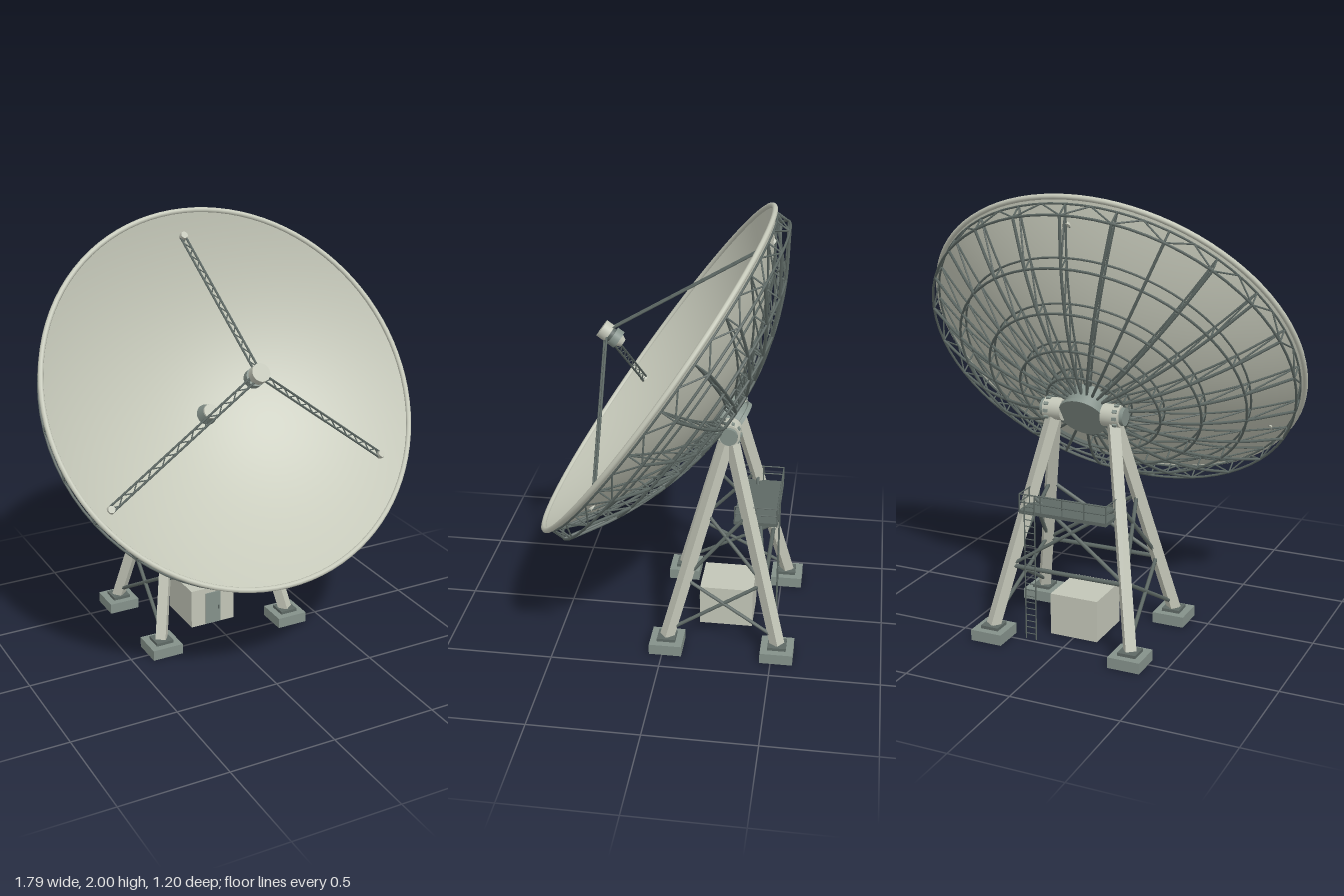
import * as THREE from 'three';
import { mergeGeometries } from 'three/addons/utils/BufferGeometryUtils.js';

const V = (x, y, z) => new THREE.Vector3(x, y, z);
const mat = (name, color, side = THREE.FrontSide) => {
  const m = new THREE.MeshStandardMaterial({ color, side });
  m.name = name;
  return m;
};

export function createModel() {
  const panel = mat('panel beige', 0xc6c9ba, THREE.DoubleSide);
  const paint = mat('tower beige', 0xc2c5b7);
  const steel = mat('dark steel', 0x5e6965);
  const grey = mat('green grey', 0x84918a);
  const model = new THREE.Group();
  model.name = 'dishAntenna';

  const add = (parent, name, geo, material, x = 0, y = 0, z = 0) => {
    const m = new THREE.Mesh(geo, material);
    m.name = name;
    m.position.set(x, y, z);
    parent.add(m);
    return m;
  };
  // Round bar between two points
  const bar = (a, b, r, sides = 6) => {
    const d = b.clone().sub(a);
    const g = new THREE.CylinderGeometry(r, r, d.length(), sides);
    g.applyQuaternion(new THREE.Quaternion().setFromUnitVectors(V(0, 1, 0), d.normalize()));
    const c = a.clone().add(b).multiplyScalar(0.5);
    return g.translate(c.x, c.y, c.z);
  };
  const box = (w, h, d) => new THREE.BoxGeometry(w, h, d);
  // Square beam between two points, one pair of faces kept level sideways
  const beam = (a, b, w) => {
    const c = a.clone().add(b).multiplyScalar(0.5);
    return box(w, w, a.distanceTo(b))
      .applyMatrix4(new THREE.Matrix4().lookAt(a, b, V(0, 1, 0)))
      .translate(c.x, c.y, c.z);
  };
  const cylZ = (r0, r1, h, n = 28) => new THREE.CylinderGeometry(r1, r0, h, n).rotateX(Math.PI / 2);

  // Dish assembly: local +z is the pointing axis, origin at the rim centre
  const dish = new THREE.Group();
  dish.name = 'dish';
  dish.position.set(0, 1.265, 0.08);
  dish.rotation.x = -THREE.MathUtils.degToRad(35);
  model.add(dish);
  const R = 0.885, DEPTH = 0.335;
  const skin = r => -DEPTH * (1 - (r / R) ** 2);
  const front = r => skin(r) - 0.012;
  const rear = r => skin(r) - 0.06 - 0.022 * r / R;
  const polar = (r, a, z) => V(r * Math.cos(a), r * Math.sin(a), z);

  const profile = [];
  for (let i = 0; i <= 24; i++) {
    const r = Math.max(0.001, R * i / 24);
    profile.push(new THREE.Vector2(r, skin(r)));
  }
  add(dish, 'reflector', new THREE.LatheGeometry(profile, 96).rotateX(Math.PI / 2), panel);
  add(dish, 'rimLip', new THREE.TorusGeometry(R - 0.002, 0.012, 8, 96), panel);

  // Curved radial rib trusses behind the reflector
  const RIBS = 24, radii = [0.09, 0.19, 0.33, 0.5, 0.68, 0.868];
  const ribs = [], hoops = [];
  const ribChord = (a, depth, r) => new THREE.TubeGeometry(
    new THREE.CatmullRomCurve3(radii.map(q => polar(q, a, depth(q)))), 15, r, 5);
  for (let k = 0; k < RIBS; k++) {
    const a = k / RIBS * Math.PI * 2, b = (k + 1) / RIBS * Math.PI * 2;
    ribs.push(ribChord(a, front, 0.005), ribChord(a, rear, 0.007));
    radii.forEach((r, i) => {
      ribs.push(bar(polar(r, a, front(r)), polar(r, a, rear(r)), 0.004, 5));
      if (i < radii.length - 1) {
        const q = radii[i + 1];
        ribs.push(bar(polar(r, a, rear(r)), polar(q, a, front(q)), 0.004, 5));
      }
    });
    // Zigzag web of the outermost hoop
    const r = radii[5], peak = polar(r, (a + b) / 2, front(r));
    hoops.push(bar(polar(r, a, rear(r)), peak, 0.004, 5), bar(peak, polar(r, b, rear(r)), 0.004, 5));
  }
  // Round hoops, one on the skin and one on the rear chords
  for (const r of radii.slice(1)) {
    hoops.push(new THREE.TorusGeometry(r, 0.005, 5, 72).translate(0, 0, front(r)));
    hoops.push(new THREE.TorusGeometry(r, 0.006, 5, 72).translate(0, 0, rear(r)));
  }
  add(dish, 'ribTrusses', mergeGeometries(ribs), steel);
  add(dish, 'hoopTrusses', mergeGeometries(hoops), steel);

  // Centre cone in the bowl and the hub drum behind it
  add(dish, 'centreCone', cylZ(0.05, 0.036, 0.05), grey, 0, 0, -0.31);
  add(dish, 'centreConeCap', cylZ(0.036, 0.034, 0.008), paint, 0, 0, -0.282);
  add(dish, 'hubDrum', cylZ(0.1, 0.1, 0.1, 32), grey, 0, 0, -0.39);
  add(dish, 'hubFlange', cylZ(0.112, 0.112, 0.018, 32), grey, 0, 0, -0.441);

  // Feed housing at the focus
  add(dish, 'feedCap', cylZ(0.042, 0.042, 0.042), paint, 0, 0, 0.28);
  add(dish, 'feedNeck', cylZ(0.032, 0.032, 0.04), steel, 0, 0, 0.25);
  add(dish, 'feedDrum', cylZ(0.043, 0.043, 0.035), grey, 0, 0, 0.225);
  add(dish, 'feedHorn', cylZ(0.018, 0.032, 0.025), paint, 0, 0, 0.197);

  // Three flat lattice legs carrying the feed
  for (const deg of [90, 210, 330]) {
    const a = THREE.MathUtils.degToRad(deg);
    const p0 = polar(0.785, a, skin(0.785)), p1 = polar(0.035, a, 0.262);
    const side = polar(1, a + Math.PI / 2, 0);
    const node = (s, t) => p0.clone().lerp(p1, t).addScaledVector(side, s * 0.013);
    const parts = [], N = 20;
    for (const s of [-1, 1]) parts.push(bar(node(s, 0), node(s, 1), 0.005));
    for (let i = 0; i < N; i++) {
      const s = i % 2 ? 1 : -1;
      parts.push(bar(node(s, i / N), node(-s, (i + 1) / N), 0.003, 4));
    }
    add(dish, 'feedLeg', mergeGeometries(parts), steel);
    add(dish, 'feedLegFoot', cylZ(0.02, 0.016, 0.025, 16), paint, p0.x, p0.y, p0.z + 0.01);
  }

  // Tower: four legs from footings to the elevation bearings
  const top = s => V(s * 0.14, 1.03, -0.27);
  const foot = (s, f) => V(s * 0.335, 0.06, f > 0 ? -0.015 : -0.525);
  const at = (s, f, y) => foot(s, f).lerp(top(s), (y - 0.06) / 0.97);
  const braces = [];
  for (const s of [-1, 1]) {
    for (const f of [-1, 1]) {
      const p = foot(s, f);
      add(model, 'footing', box(0.15, 0.05, 0.15), grey, p.x, 0.025, p.z);
      add(model, 'basePlate', box(0.085, 0.014, 0.085), steel, p.x, 0.057, p.z);
      add(model, 'towerLeg', beam(p, top(s), 0.048), paint);
      // Side cross braces
      braces.push(bar(at(s, f, 0.09), at(s, -f, 0.34), 0.009), bar(at(s, f, 0.34), at(s, -f, 0.66), 0.009));
    }
    // Elevation bearing with cap and bolt ring
    const p = top(s);
    add(model, 'bearing', new THREE.CylinderGeometry(0.05, 0.05, 0.085, 28).rotateZ(Math.PI / 2), paint, p.x, p.y, p.z);
    add(model, 'bearingCap', new THREE.CylinderGeometry(0.04, 0.04, 0.02, 24).rotateZ(Math.PI / 2), grey, s * 0.19, p.y, p.z);
    const bolts = [];
    for (let i = 0; i < 10; i++) {
      const a = i / 10 * Math.PI * 2;
      bolts.push(box(0.02, 0.014, 0.014).rotateX(-a).translate(s * 0.165, 0.05 * Math.sin(a), 0.05 * Math.cos(a)));
    }
    add(model, 'bearingBolts', mergeGeometries(bolts), grey, 0, p.y, p.z);
  }
  add(model, 'elevationShaft', bar(top(-1), top(1), 0.025, 20), steel);
  // Cross braces and struts on the front and back faces
  for (const f of [-1, 1]) {
    braces.push(bar(at(-1, f, 0.33), at(1, f, 0.33), 0.01));
    for (const s of [-1, 1]) braces.push(bar(at(s, f, 0.33), at(-s, f, 0.65), 0.009));
  }
  add(model, 'towerBraces', mergeGeometries(braces), steel);

  // Service platform with railing
  add(model, 'platformDeck', box(0.42, 0.016, 0.2), steel, 0, 0.61, -0.4);
  const rails = [], corners = [[-0.208, -0.305], [-0.208, -0.497], [0.208, -0.497], [0.208, -0.305]];
  for (let i = 0; i < 3; i++) {
    const [x0, z0] = corners[i], [x1, z1] = corners[i + 1];
    for (const y of [0.655, 0.692]) rails.push(bar(V(x0, y, z0), V(x1, y, z1), 0.003));
    const n = i === 1 ? 4 : 2;
    for (let k = 0; k <= n; k++) {
      const x = x0 + (x1 - x0) * k / n, z = z0 + (z1 - z0) * k / n;
      rails.push(bar(V(x, 0.61, z), V(x, 0.692, z), 0.003));
    }
  }
  add(model, 'platformRailing', mergeGeometries(rails), steel);

  // Ladder up to the platform
  const ladder = [];
  for (const x of [0.13, 0.18]) ladder.push(bar(V(x, 0.015, -0.505), V(x, 0.69, -0.505), 0.003));
  for (let y = 0.04; y < 0.66; y += 0.03) ladder.push(bar(V(0.13, y, -0.505), V(0.18, y, -0.505), 0.0022));
  add(model, 'ladder', mergeGeometries(ladder), steel);

  // Equipment hut with door
  add(model, 'hut', box(0.23, 0.195, 0.25), paint, 0, 0.0975, -0.265);
  add(model, 'hutDoor', box(0.08, 0.165, 0.008), grey, 0, 0.086, -0.138);
  add(model, 'doorHandle', box(0.006, 0.02, 0.008), steel, 0.028, 0.085, -0.131);

  return model;
}
